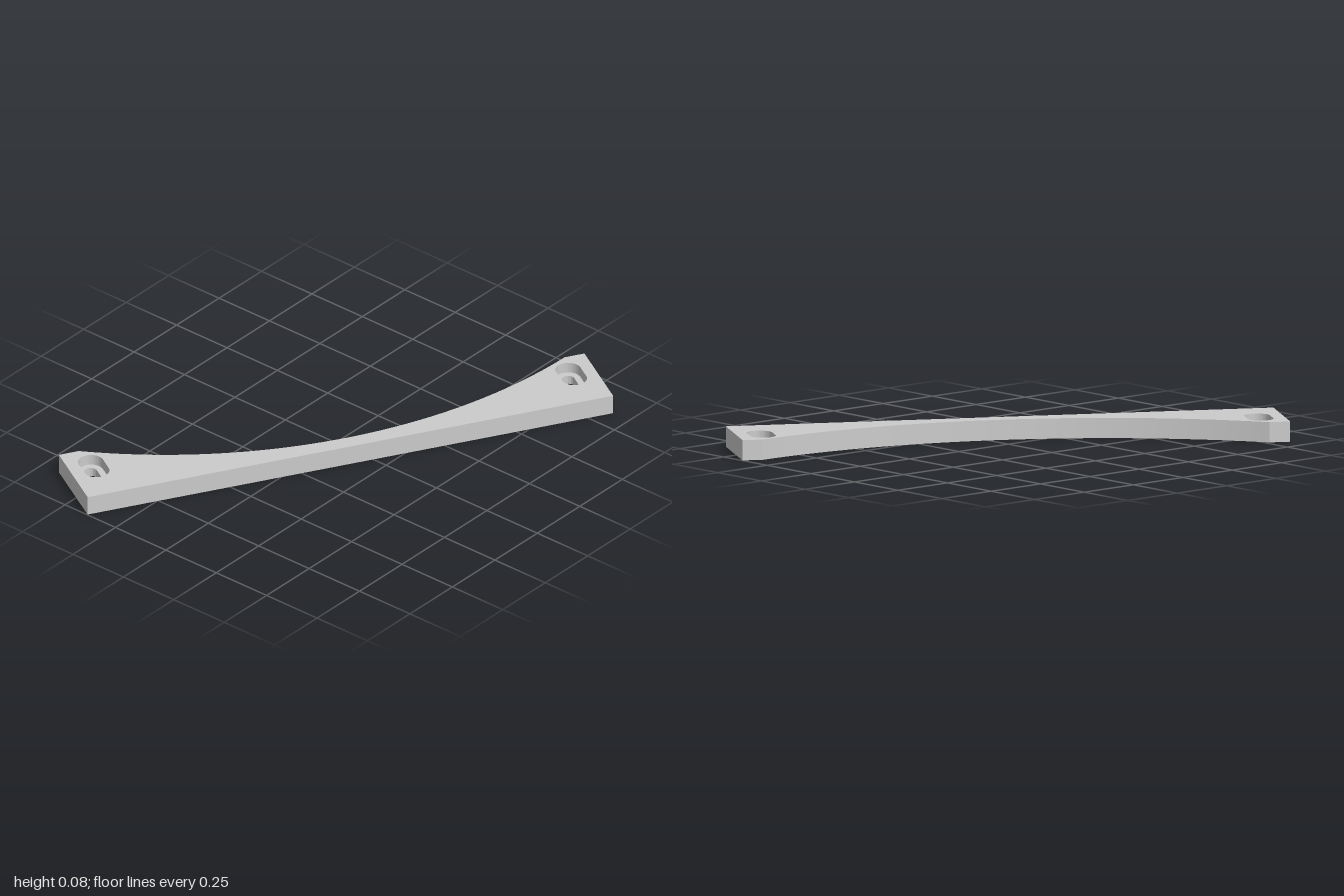
import * as THREE from 'three';
import { mergeGeometries, toCreasedNormals } from 'three/addons/utils/BufferGeometryUtils.js';

const THICK = 0.078, LEDGE = 0.035;     // plate thickness, height of the counterbore floor
const HALF = 1.06, WIDE = 0.32;         // half length of the straight edge, width at the ends
const ARC_X = 0.98, ARC_R = 2;          // end and radius of the concave edge
const SLOT_X = 0.963, SLOT_Y = 0.2, SLOT_H = 0.032;

// Plan outline, counter-clockwise, straight edge along y = 0
function outlinePoints() {
  const rise = Math.sqrt(ARC_R ** 2 - ARC_X ** 2);
  const a = Math.atan2(rise, ARC_X);
  const s = new THREE.Shape();
  s.moveTo(-HALF, 0);
  s.lineTo(HALF, 0);
  s.lineTo(HALF, WIDE);
  s.lineTo(ARC_X, WIDE);
  s.absarc(0, WIDE + rise, ARC_R, -a, a - Math.PI, true);
  s.lineTo(-HALF, WIDE);
  return s.getPoints(64);
}

// Rounded slot, counter-clockwise, running across the plate
function slotPoints(x, r) {
  const p = new THREE.Path();
  p.absarc(x, SLOT_Y + SLOT_H, r, 0, Math.PI, false);
  p.absarc(x, SLOT_Y - SLOT_H, r, Math.PI, 2 * Math.PI, false);
  return p.getPoints(20);
}

// Flat face at height z with holes, facing up or down
function face(points, holes, z, down = false) {
  const shape = new THREE.Shape(points);
  shape.holes = holes.map((h) => new THREE.Path(h));
  const g = new THREE.ShapeGeometry(shape);
  if (down) {
    g.index.array.reverse();
    g.computeVertexNormals();
  }
  return g.translate(0, 0, z).toNonIndexed().deleteAttribute('uv');
}

// Upright wall following a loop; a reversed loop faces inwards
function wall(loop, z0, z1) {
  const pos = [];
  loop.forEach((p, i) => {
    const q = loop[(i + 1) % loop.length];
    if (p.distanceTo(q) < 1e-6) return;
    pos.push(p.x, p.y, z0, q.x, q.y, z0, q.x, q.y, z1);
    pos.push(p.x, p.y, z0, q.x, q.y, z1, p.x, p.y, z1);
  });
  const g = new THREE.BufferGeometry();
  g.setAttribute('position', new THREE.Float32BufferAttribute(pos, 3));
  return toCreasedNormals(g, 0.5);
}

export function createModel() {
  const material = new THREE.MeshStandardMaterial({ color: 0xcccccc });
  const group = new THREE.Group();
  group.name = 'bracket';
  const add = (name, parts) => {
    const g = mergeGeometries(parts);
    // Lay flat, turn to the diagonal and centre
    g.rotateX(-Math.PI / 2).rotateY(Math.PI / 3).translate(0.14, 0, 0.08);
    const mesh = new THREE.Mesh(g, material);
    mesh.name = name;
    group.add(mesh);
  };

  const outline = outlinePoints();
  const bores = [-SLOT_X, SLOT_X].map((x) => slotPoints(x, 0.049));
  const slots = [-SLOT_X, SLOT_X].map((x) => slotPoints(x, 0.024));

  // Plate with one concave edge
  add('plate', [
    face(outline, bores, THICK),
    face(outline, slots, 0, true),
    wall(outline, 0, THICK),
  ]);

  // Counterbored slot at each end
  ['frontSlot', 'backSlot'].forEach((name, i) => add(name, [
    wall([...bores[i]].reverse(), LEDGE, THICK),
    face(bores[i], [slots[i]], LEDGE),
    wall([...slots[i]].reverse(), 0, LEDGE),
  ]));

  return group;
}
